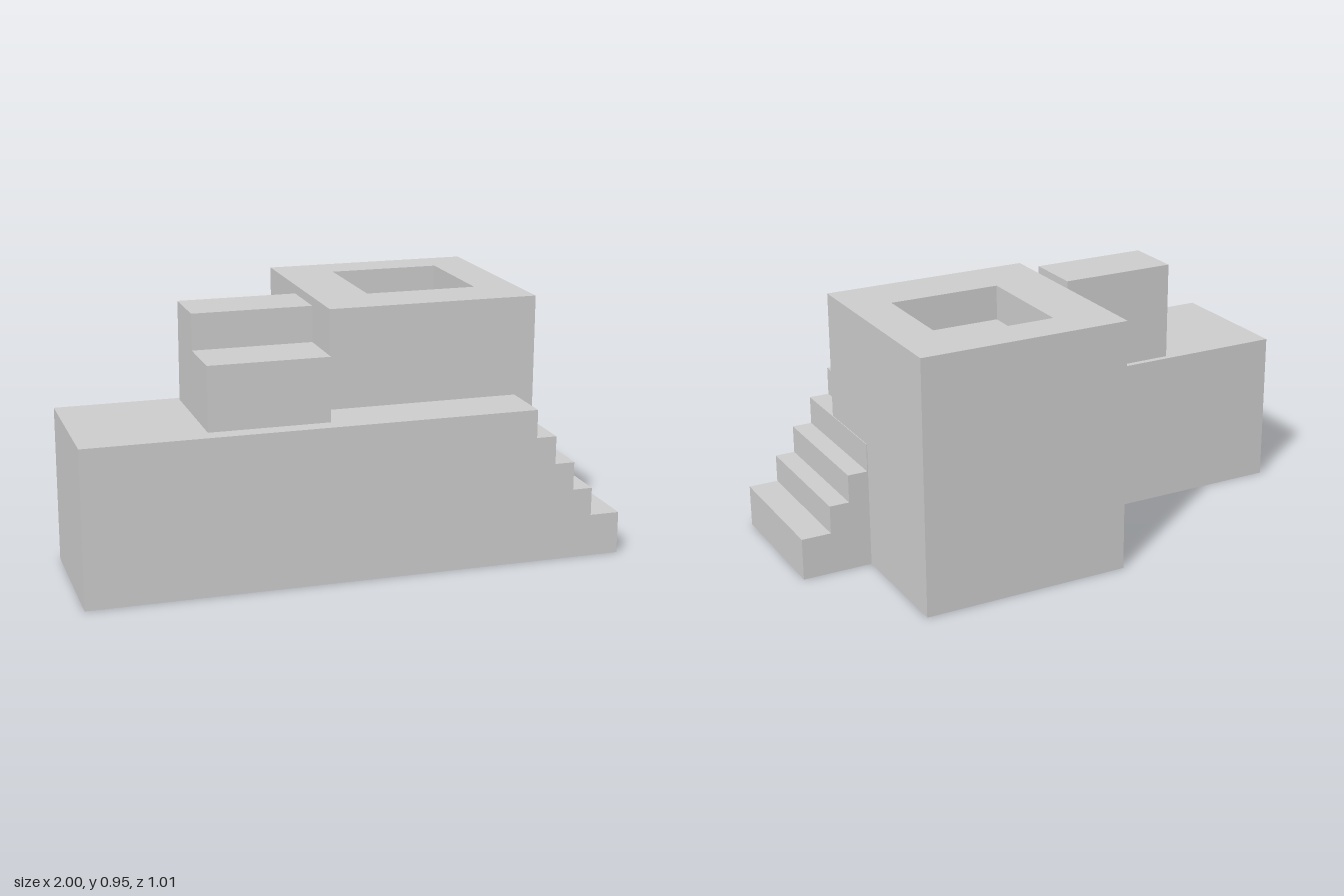
import * as THREE from 'three';

const material = new THREE.MeshStandardMaterial({ color: 0xcccccc, flatShading: true });

function shapeFrom(points) {
  return new THREE.Shape(points.map(([x, y]) => new THREE.Vector2(x, y)));
}

function rectangle(x0, x1, y0, y1) {
  return [[x0, y0], [x1, y0], [x1, y1], [x0, y1]];
}

function extrude(shape, depth) {
  return new THREE.ExtrudeGeometry(shape, { depth, bevelEnabled: false });
}

export function createModel() {
  const group = new THREE.Group();
  const add = (name, geometry) => {
    const mesh = new THREE.Mesh(geometry, material);
    mesh.name = name;
    group.add(mesh);
    return mesh;
  };

  // Long platform whose +x end descends in steps
  const profile = [[-1, 0], [1, 0]];
  const treadEnds = [1, 0.888, 0.813, 0.738, 0.662];
  treadEnds.forEach((x, i) => {
    const y = 0.158 + i * 0.1055;
    if (i > 0) profile.push([x, y - 0.1055]);
    profile.push([x, y]);
  });
  profile.push([-1, 0.58]);
  add('steppedPlatform', extrude(shapeFrom(profile), 0.535)).position.z = -0.03;

  // Tall block with a square recess in its top (drawn in plan, then stood up)
  const plan = shapeFrom(rectangle(-0.055, 0.735, -0.285, 0.505));
  plan.holes.push(shapeFrom(rectangle(0.155, 0.577, -0.073, 0.353)));
  add('towerWalls', extrude(plan, 0.95).rotateX(-Math.PI / 2));
  const floor = new THREE.BoxGeometry(0.422, 0.82, 0.426);
  add('recessFloor', floor).position.set(0.366, 0.41, -0.14);

  // Two-level block on the platform, higher at the back
  const seatProfile = shapeFrom([
    [-0.44, 0.58], [0.007, 0.58], [0.007, 0.95],
    [-0.213, 0.95], [-0.213, 0.817], [-0.44, 0.817],
  ]);
  const seat = add('steppedSeat', extrude(seatProfile, 0.443).rotateY(Math.PI / 2));
  seat.position.x = -0.541;

  return group;
}
